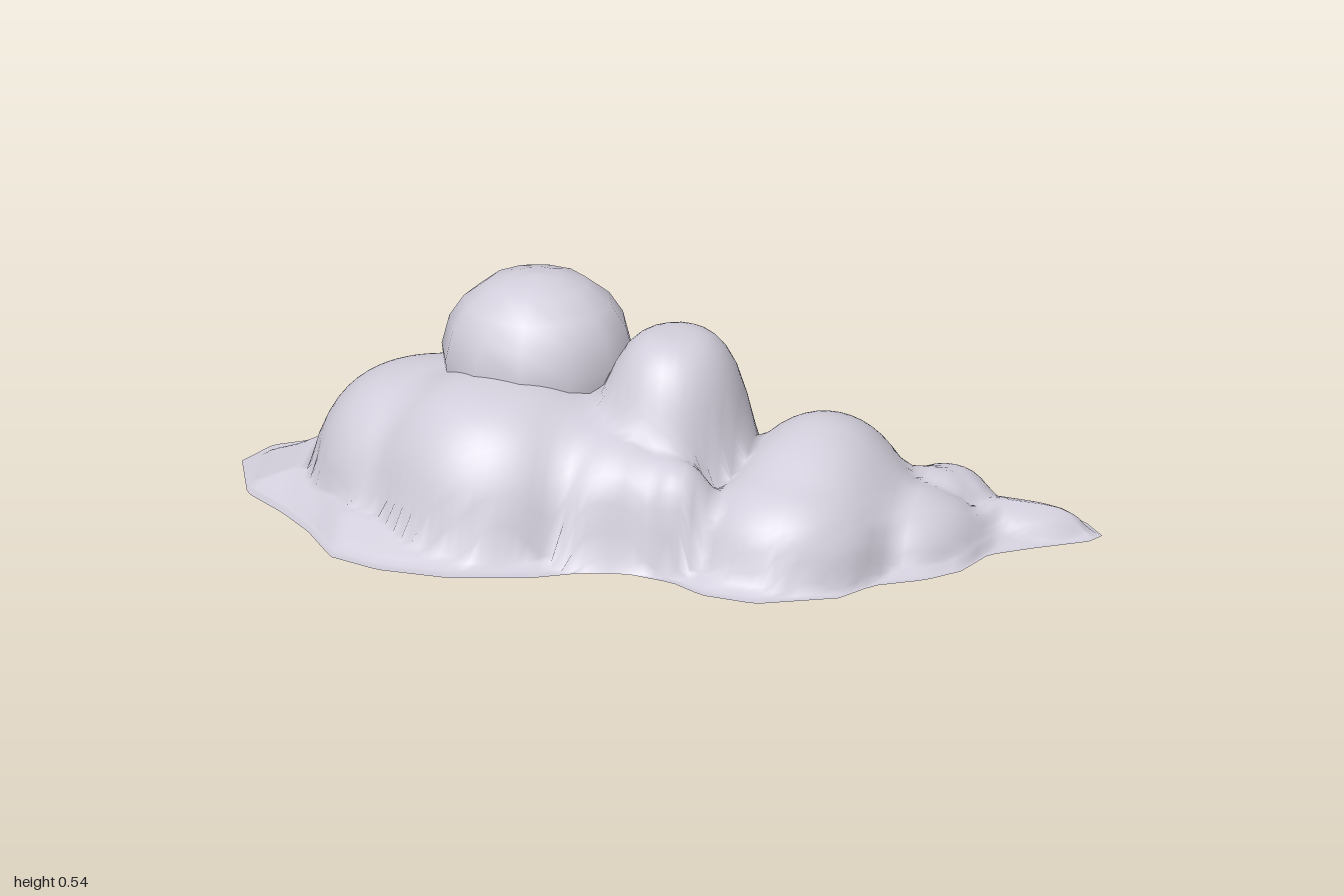
import * as THREE from 'three';

// footprint edges as [x, z]
const BACK = [[-1, -0.07], [-0.95, -0.18], [-0.87, -0.23], [-0.73, -0.4], [-0.63, -0.47], [-0.28, -0.545],
  [-0.21, -0.54], [-0.1, -0.47], [0.09, -0.25], [0.3, -0.23], [0.43, -0.23], [0.53, -0.2], [0.65, -0.215],
  [0.8, -0.165], [0.9, -0.145], [0.95, -0.11], [1, -0.04]];
const FRONT = [[-1, -0.07], [-0.95, 0.12], [-0.85, 0.22], [-0.77, 0.32], [-0.69, 0.46], [-0.57, 0.515],
  [-0.4, 0.53], [-0.22, 0.49], [-0.12, 0.44], [-0.01, 0.42], [0.1, 0.45], [0.18, 0.51], [0.31, 0.535],
  [0.49, 0.46], [0.55, 0.37], [0.66, 0.31], [0.73, 0.24], [0.77, 0.13], [0.86, 0.07], [0.98, 0], [1, -0.04]];

// rounded lobes: x, z, radius x, radius z, height, squareness (1 is an ellipsoid)
const LOBES = [
  // broad body with its shoulders
  [-0.34, 0, 0.48, 0.39, 0.32, 1.3],
  [-0.36, 0.17, 0.29, 0.28, 0.345, 1.3],
  [-0.61, 0, 0.21, 0.27, 0.28, 1.3],
  [-0.36, -0.26, 0.21, 0.155, 0.275, 1.5],
  // tall middle ridge and the small knob before it
  [0.03, 0.06, 0.195, 0.225, 0.465, 1.6],
  [0, -0.11, 0.18, 0.22, 0.35, 1.4],
  [-0.07, 0.18, 0.24, 0.25, 0.29, 1.2],
  [0.09, 0.31, 0.1, 0.11, 0.24, 1.2],
  // lower hump sloping to the front
  [0.37, 0.07, 0.22, 0.28, 0.28, 1],
  [0.34, 0.22, 0.24, 0.25, 0.22, 1.1],
  [0.31, 0.3, 0.2, 0.17, 0.15, 1.2],
  // tail
  [0.55, 0.1, 0.19, 0.19, 0.145, 1],
  [0.63, -0.06, 0.12, 0.11, 0.13, 1.3],
  [0.78, -0.04, 0.18, 0.09, 0.06, 1.3],
];

function edgeZ(points, x) {
  for (let i = 1; i < points.length; i++) {
    const [x0, z0] = points[i - 1], [x1, z1] = points[i];
    if (x <= x1) return z0 + (z1 - z0) * (x - x0) / (x1 - x0);
  }
  return points[points.length - 1][1];
}

function blend(a, b) {
  const k = Math.min(0.09, a, b) + 1e-6;
  return Math.max(a, b) + Math.max(k - Math.abs(a - b), 0) ** 2 / (4 * k);
}

// thin skirt near the rim, with the lobes rising out of it
function heightAt(x, z, inset) {
  let h = Math.min(0.45 * inset, 0.07);
  for (const [cx, cz, rx, rz, top, square] of LOBES) {
    const d = ((x - cx) / rx) ** 2 + ((z - cz) / rz) ** 2;
    if (d < 1) h = blend(h, top * Math.sqrt(1 - d ** square));
  }
  return h * THREE.MathUtils.smoothstep(inset, -0.015, 0.06);
}

// open shell: columns along x, each running from the back edge to the front edge
function moundGeometry(nx = 96, nz = 56) {
  const positions = [], indices = [];
  for (let i = 0; i <= nx; i++) {
    const s = i / nx;
    const x = THREE.MathUtils.lerp(2 * s - 1, -Math.cos(Math.PI * s), 0.5);
    const back = edgeZ(BACK, x), front = edgeZ(FRONT, x);
    for (let j = 0; j <= nz; j++) {
      const z = back + (front - back) * j / nz;
      const inset = Math.min(z - back, front - z, 1 + x, 1 - x);
      const lip = 0.008 * (1 - x);
      positions.push(x, Math.max(lip, heightAt(x, z, inset)), z);
      if (i < nx && j < nz) {
        const a = i * (nz + 1) + j, b = a + nz + 1;
        indices.push(a, a + 1, b, b, a + 1, b + 1);
      }
    }
  }
  const geometry = new THREE.BufferGeometry();
  geometry.setAttribute('position', new THREE.Float32BufferAttribute(positions, 3));
  geometry.setIndex(indices);
  geometry.computeVertexNormals();
  return geometry;
}

export function createModel() {
  const group = new THREE.Group();
  group.name = 'lumpyMound';
  const material = new THREE.MeshStandardMaterial({ color: 0xd2cedb, side: THREE.DoubleSide });
  material.name = 'paleLavender';

  const mound = new THREE.Mesh(moundGeometry(), material);
  mound.name = 'mound';
  group.add(mound);

  // squat round knob on the summit, open below where it sinks into the mound
  const profile = [[0.215, 0.29], [0.223, 0.35], [0.205, 0.42], [0.172, 0.47], [0.115, 0.515], [0.055, 0.532], [0, 0.537]]
    .map(([r, y]) => new THREE.Vector2(r, y));
  const knob = new THREE.Mesh(new THREE.LatheGeometry(profile, 12), material);
  knob.name = 'summitKnob';
  knob.position.set(-0.31, 0, -0.05);
  knob.scale.z = 0.97;
  group.add(knob);
  return group;
}
